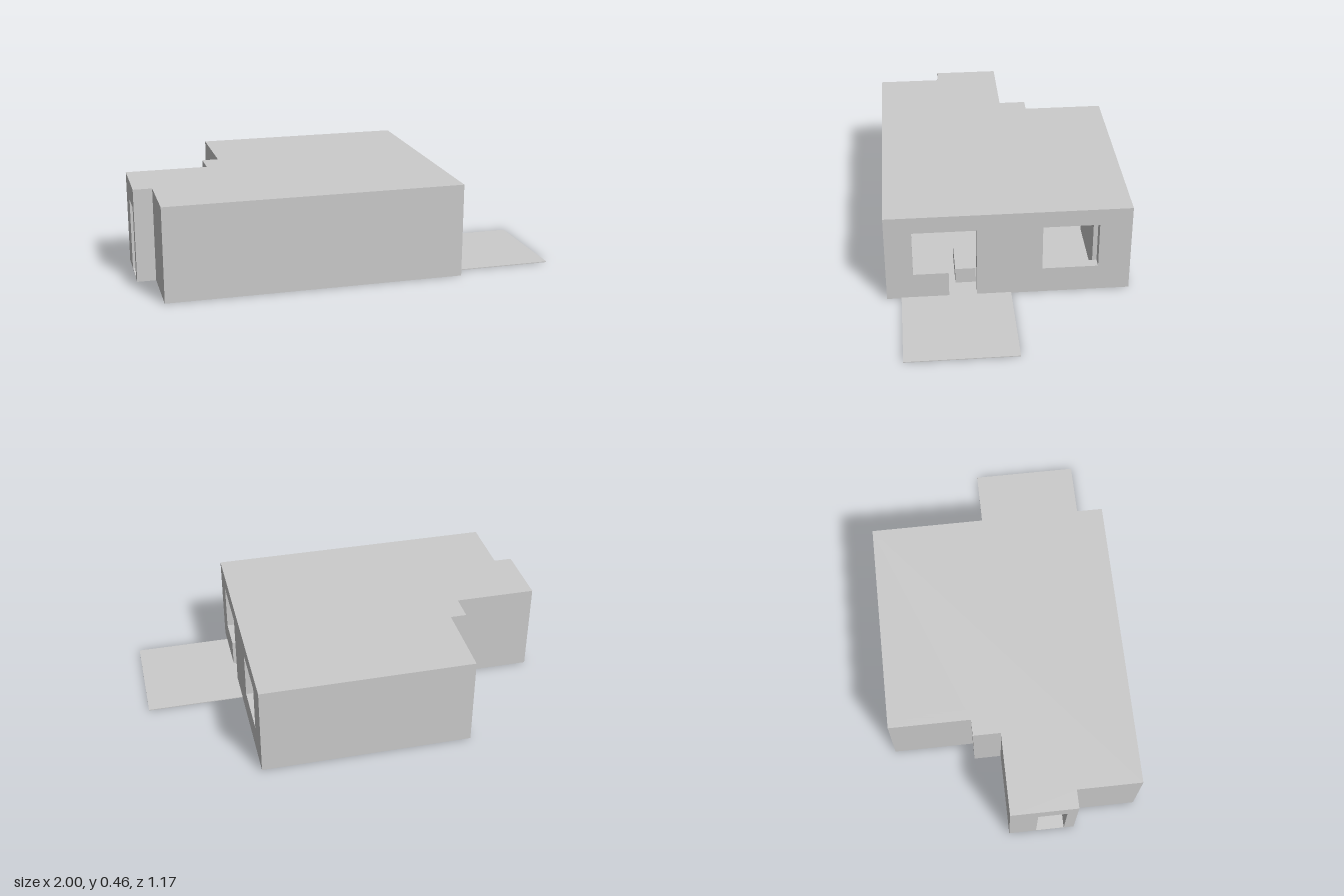
import * as THREE from 'three';

const H = 0.455; // building height
const T = 0.05;  // wall thickness

// Footprint corners as [x, z], walked so the interior lies on the local +z side of each wall
const FOOTPRINT = [
  [0.52, -0.59], [0.52, 0.585], [-0.91, 0.585], [-0.91, 0.27], [-1, 0.27],
  [-1, -0.055], [-0.6, -0.055], [-0.6, -0.19], [-0.52, -0.19], [-0.52, -0.59],
];

export function createModel() {
  const group = new THREE.Group();
  const material = new THREE.MeshStandardMaterial({ color: 0xcccccc, flatShading: true });

  const add = (name, geometry) => {
    const mesh = new THREE.Mesh(geometry, material);
    mesh.name = name;
    group.add(mesh);
    return mesh;
  };
  const box = (name, x0, x1, y0, y1, z0, z1) =>
    add(name, new THREE.BoxGeometry(x1 - x0, y1 - y0, z1 - z0))
      .position.set((x0 + x1) / 2, (y0 + y1) / 2, (z0 + z1) / 2);
  const outline = (points) => new THREE.Shape(points.map(([x, y]) => new THREE.Vector2(x, y)));

  // Horizontal slab with the footprint's outline
  const slab = (name, top, depth) => {
    const geometry = new THREE.ExtrudeGeometry(outline(FOOTPRINT), { depth, bevelEnabled: false });
    add(name, geometry.rotateX(Math.PI / 2)).position.y = top;
  };
  slab('floor', 0.004, 0.004);
  slab('roof', H, 0.02);

  // Openings keyed by wall index, as outlines of [distance along wall, height]
  const openings = {
    0: [
      [[0.155, 0.135], [0.425, 0.135], [0.425, 0.37], [0.155, 0.37]],
      [[0.74, 0.004], [0.875, 0.004], [0.875, 0.135], [1.045, 0.135], [1.045, 0.37], [0.74, 0.37]],
    ],
    4: [[[0.05, 0.004], [0.19, 0.004], [0.19, 0.355], [0.05, 0.355]]],
  };

  // Outer walls
  const count = FOOTPRINT.length;
  const corner = (i) => FOOTPRINT[(i + count) % count];
  const isInnerCorner = (i) => {
    const [a, b, c] = [corner(i - 1), corner(i), corner(i + 1)];
    return (b[0] - a[0]) * (c[1] - b[1]) - (b[1] - a[1]) * (c[0] - b[0]) < 0;
  };
  for (let i = 0; i < count; i++) {
    const [x, z] = corner(i);
    const [dx, dz] = [corner(i + 1)[0] - x, corner(i + 1)[1] - z];
    const start = isInnerCorner(i) ? -T : 0;
    const end = Math.hypot(dx, dz) + (isInnerCorner(i + 1) ? T : 0);
    const shape = outline([[start, 0], [end, 0], [end, H], [start, H]]);
    shape.holes = (openings[i] || []).map(
      (points) => new THREE.Path(points.map(([u, v]) => new THREE.Vector2(u, v))));
    const wall = add(`wall${i + 1}`, new THREE.ExtrudeGeometry(shape, { depth: T, bevelEnabled: false }));
    wall.position.set(x, 0, z);
    wall.rotation.y = Math.atan2(-dz, dx);
  }

  // Interior partition, corner pier and low step
  box('partition', -0.6, 0.47, 0, 0.44, 0, 0.06);
  box('cornerPier', 0, 0.38, 0, 0.44, -0.54, -0.43);
  box('lowStep', 0.2, 0.42, 0, 0.085, 0.15, 0.25);

  // Thin terrace outside the entrance
  box('terrace', 0.52, 1, 0, 0.004, -0.015, 0.515);

  return group;
}
